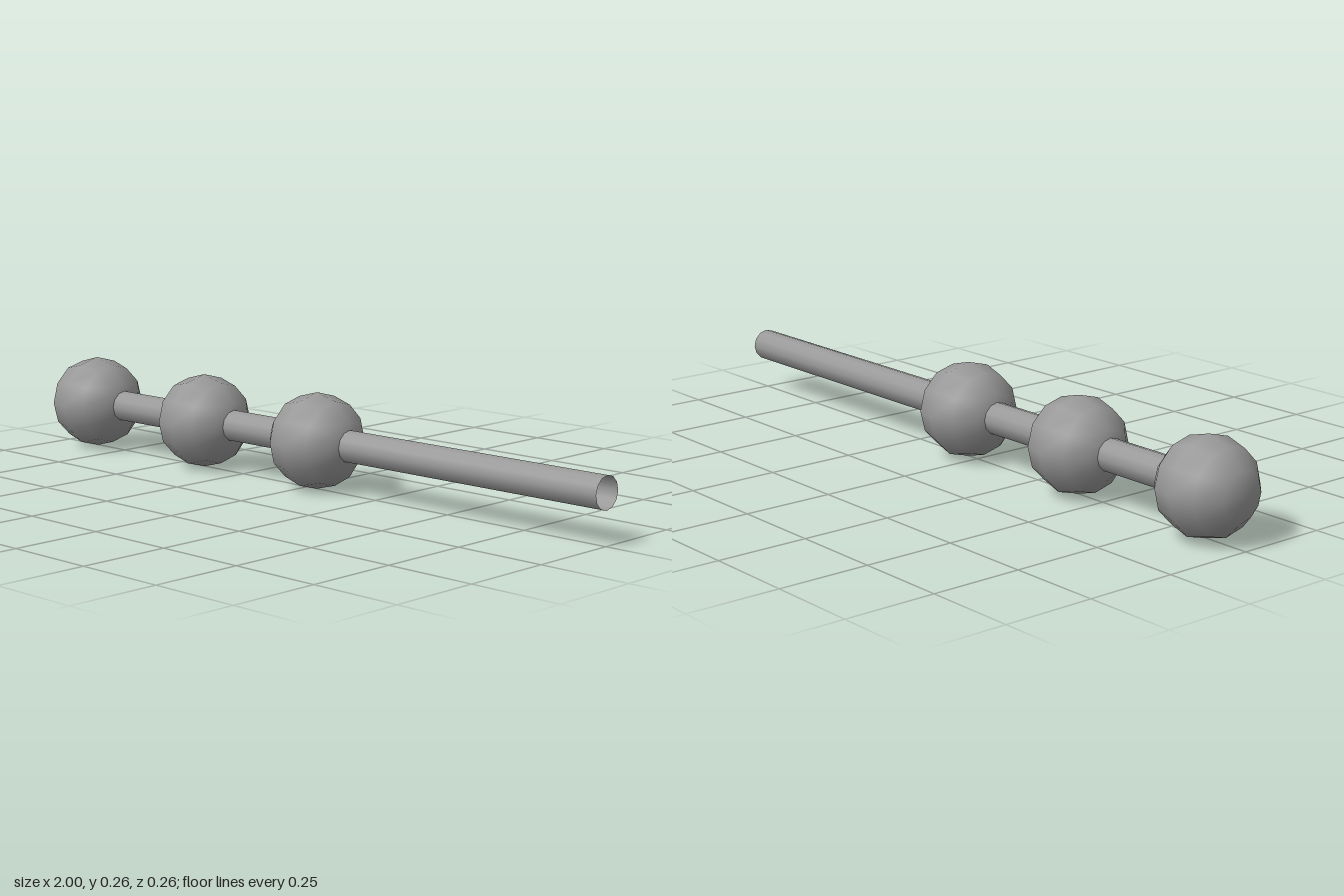
import * as THREE from 'three';

export function createModel() {
  const model = new THREE.Group();
  const material = new THREE.MeshStandardMaterial({ color: 0x999999, side: THREE.DoubleSide });
  const radius = 0.132;
  const rodRadius = 0.044;
  // Distance from a bead's centre to the rim of its rod hole
  const rim = radius - rodRadius * Math.tan(Math.PI / 12);

  function add(name, geometry, x) {
    const mesh = new THREE.Mesh(geometry, material);
    mesh.name = name;
    mesh.position.set(x, radius, 0);
    model.add(mesh);
  }

  // Hollow bead lying along x, pierced for the rod on the right or on both sides
  function beadGeometry(closedEnd) {
    const profile = [closedEnd ? new THREE.Vector2(0, -radius) : new THREE.Vector2(rodRadius, -rim)];
    for (let i = 1; i < 6; i++) {
      const a = (i * Math.PI) / 6;
      profile.push(new THREE.Vector2(radius * Math.sin(a), -radius * Math.cos(a)));
    }
    profile.push(new THREE.Vector2(rodRadius, rim));
    const geometry = new THREE.LatheGeometry(profile, 12).rotateZ(-Math.PI / 2);
    // Round, smooth shading out from the centre
    geometry.setAttribute('normal', geometry.attributes.position.clone());
    geometry.normalizeNormals();
    return geometry;
  }

  // Each bead is followed by an open rod section reaching the next bead or the tip
  const beads = [['endBead', -0.868], ['middleBead', -0.405], ['innerBead', 0.037]];
  beads.forEach(([name, x], i) => {
    add(name, beadGeometry(i === 0), x);
    const from = x + rim;
    const to = i < 2 ? beads[i + 1][1] - rim : 1;
    const rod = new THREE.CylinderGeometry(rodRadius, rodRadius, to - from, 12, 1, true);
    add('rodSection' + (i + 1), rod.rotateZ(Math.PI / 2), (from + to) / 2);
  });

  return model;
}
